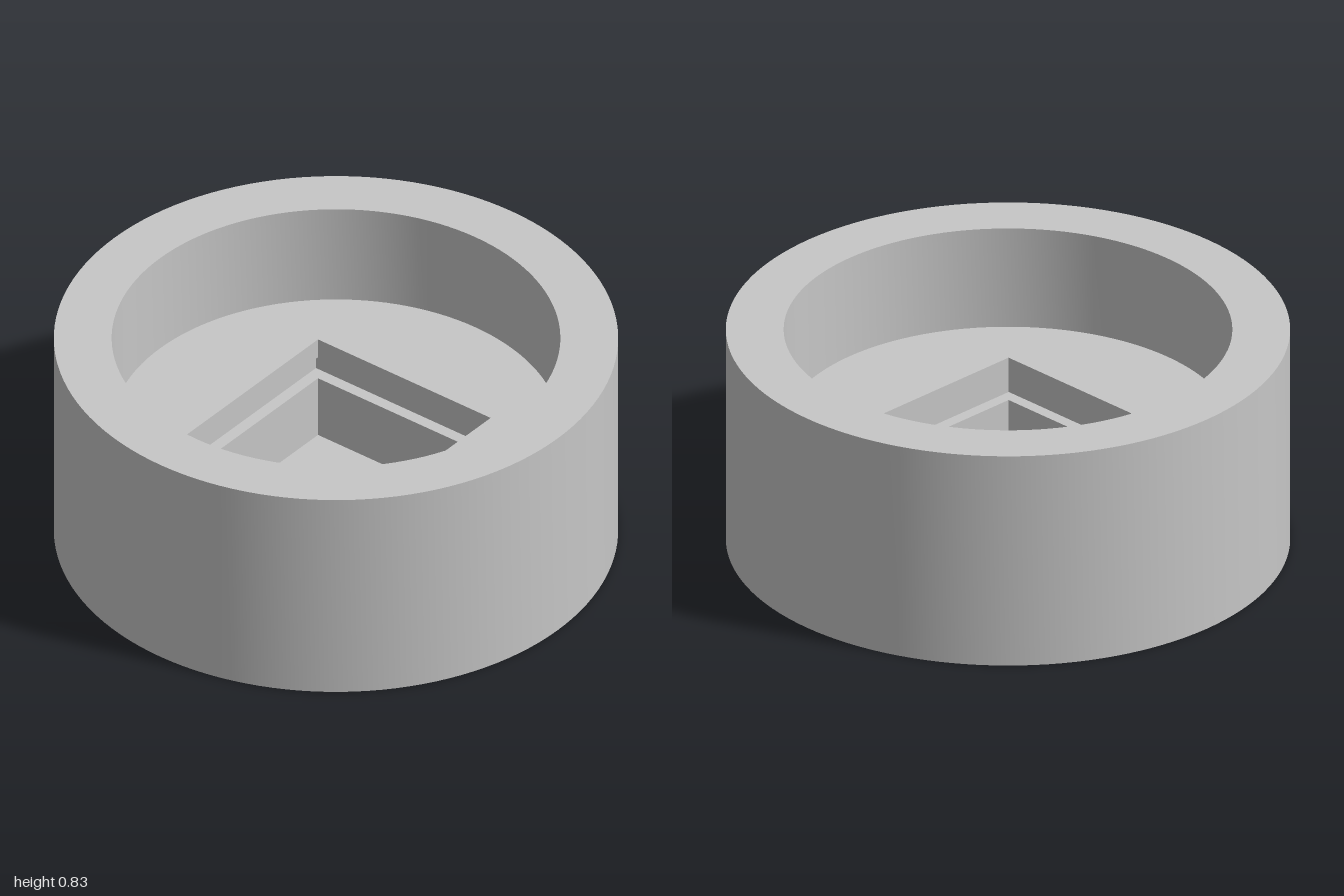
import * as THREE from 'three';
import { toCreasedNormals } from 'three/addons/utils/BufferGeometryUtils.js';

const H = 0.83;         // overall height
const FLOOR = 0.44;     // floor of the round recess
const BASE = 0.027;     // thickness of the bottom skin
const R_IN = 0.795;     // radius of the round recess
const S = 0.39;         // half width of the square pocket
const S_WIDE = 0.435;   // half width of the undercut groove
const SEG = 128;

// drilled holes: x, z, radius
const HOLES = [
  [0, 0, 0.118],
  [-0.283, 0, 0.055],
  [0.283, 0, 0.055],
  [-0.213, -0.142, 0.055],
  [0.142, -0.285, 0.055],
];

export function createModel() {
  const group = new THREE.Group();
  const grey = new THREE.MeshStandardMaterial({ color: 0xc6c6c6 });

  const add = (name, geometry) => {
    const mesh = new THREE.Mesh(geometry, grey);
    mesh.name = name;
    group.add(mesh);
    return mesh;
  };

  // revolved skin with crisp edges; a profile running downward faces inward
  const revolve = (points, segments, start = 0) => toCreasedNormals(
    new THREE.LatheGeometry(points.map(([r, y]) => new THREE.Vector2(r, y)), segments, start),
    Math.PI / 4,
  );

  const disc = (r) => new THREE.Shape().absarc(0, 0, r, 0, Math.PI * 2, false);

  const square = (Type, s) => new Type([[-s, -s], [s, -s], [s, s], [-s, s]]
    .map(([x, y]) => new THREE.Vector2(x, y)));

  // flat face at a given height, looking up (dir = 1) or down (dir = -1)
  const face = (shape, y, dir) => new THREE.ShapeGeometry(shape, SEG / 2)
    .rotateX(-dir * Math.PI / 2).translate(0, y, 0);

  const drill = (shape, dir) => {
    for (const [x, z, r] of HOLES) {
      shape.holes.push(new THREE.Path().absarc(x, -dir * z, r, 0, Math.PI * 2, true));
    }
    return shape;
  };

  // outer wall, rim and recess wall
  add('ringWall', revolve([[1, 0], [1, H], [R_IN, H], [R_IN, FLOOR]], SEG));

  // recess floor around the square opening
  const recess = disc(R_IN);
  recess.holes.push(square(THREE.Path, S));
  add('recessFloor', face(recess, FLOOR, 1));

  // square pocket with an undercut groove, as a four-sided revolve
  const pocket = [
    [S, FLOOR], [S, 0.363], [S_WIDE, 0.363],
    [S_WIDE, 0.272], [S, 0.272], [S, BASE],
  ].map(([s, y]) => [s * Math.SQRT2, y]);
  add('pocketWalls', revolve(pocket, 4, Math.PI / 4));

  // pocket floor and underside, both drilled
  add('pocketFloor', face(drill(square(THREE.Shape, S), 1), BASE, 1));
  add('underside', face(drill(disc(1), -1), 0, -1));

  // walls of the drilled holes
  HOLES.forEach(([x, z, r], i) => {
    const wall = add(i === 0 ? 'centreHole' : 'pinHole' + i, revolve([[r, BASE], [r, 0]], SEG / 2));
    wall.position.set(x, 0, z);
  });

  return group;
}
